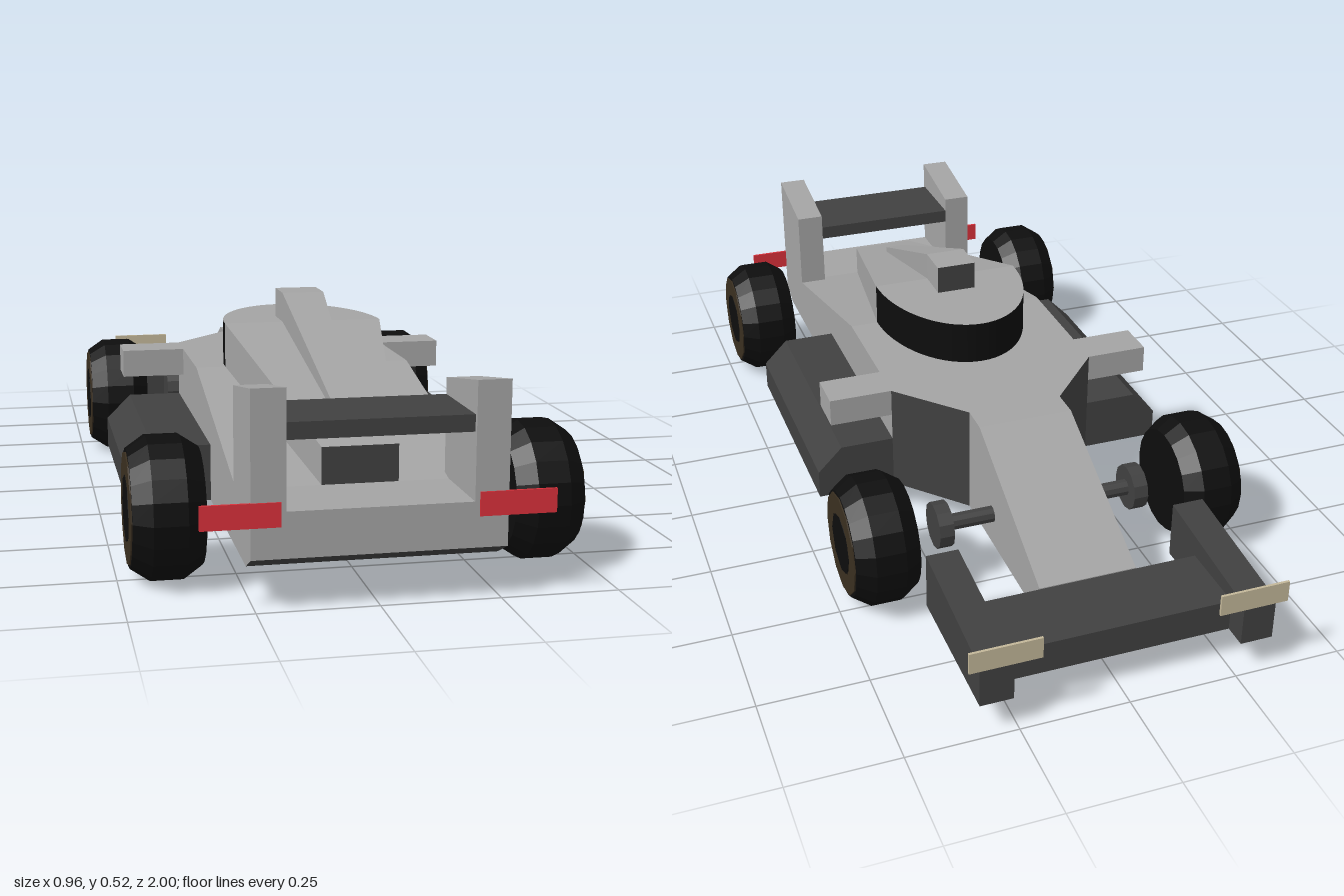
import * as THREE from 'three';

const material = (name, color, side = THREE.FrontSide) => {
  const m = new THREE.MeshStandardMaterial({ color, side });
  m.name = name;
  return m;
};

// Loft of rectangles [z, halfWidth, bottom, top], listed from high z to low z.
// pick(segment, face) gives a material index; faces: 0 bottom, 1 left, 2 top, 3 right, 4 caps.
function loft(sections, pick = () => 0) {
  const rings = sections.map(([z, w, y0, y1]) => [[-w, y0, z], [w, y0, z], [w, y1, z], [-w, y1, z]]);
  const pos = [];
  const geo = new THREE.BufferGeometry();
  const quad = (a, b, c, d, index) => {
    geo.addGroup(pos.length / 3, 6, index);
    pos.push(...a, ...b, ...c, ...a, ...c, ...d);
  };
  const last = rings.length - 1;
  quad(...rings[0], pick(0, 4));
  for (let i = 0; i < last; i++) {
    for (let k = 0; k < 4; k++) {
      const n = (k + 1) % 4;
      quad(rings[i][k], rings[i + 1][k], rings[i + 1][n], rings[i][n], pick(i, k));
    }
  }
  quad(...[...rings[last]].reverse(), pick(last, 4));
  geo.setAttribute('position', new THREE.Float32BufferAttribute(pos, 3));
  geo.computeVertexNormals();
  return geo;
}

// Flat-faceted lathe turned so that its axis lies along x
function turned(profile, sides) {
  const geo = new THREE.LatheGeometry(profile.map(p => new THREE.Vector2(...p)), sides).toNonIndexed();
  geo.computeVertexNormals();
  return geo.rotateZ(-Math.PI / 2);
}

export function createModel() {
  const car = new THREE.Group();
  car.name = 'raceCar';
  const grey = material('bodyGrey', 0xa3a3a3);
  const dark = material('darkGrey', 0x404040);
  const black = material('tyreBlack', 0x0d0d0d);
  const brown = material('rimBrown', 0x3a2f20);
  const red = material('tailRed', 0xd8303a);
  const cream = material('headlightCream', 0xc2b698);

  const add = (name, geo, mat, x = 0, y = 0, z = 0) => {
    const mesh = new THREE.Mesh(geo, mat);
    mesh.name = name;
    mesh.position.set(x, y, z);
    car.add(mesh);
    return mesh;
  };
  const box = (name, mat, w, h, d, x, y, z) => add(name, new THREE.BoxGeometry(w, h, d), mat, x, y, z);

  // Hull with nose, dark underside and dark angled intakes
  add('hull', loft([
    [1, 0.26, 0.11, 0.205], [0.94, 0.26, 0.08, 0.205], [0.82, 0.26, 0.08, 0.205],
    [0.22, 0.26, 0.08, 0.345], [-0.14, 0.26, 0.08, 0.345], [-0.3, 0.115, 0.08, 0.345],
    [-0.37, 0.115, 0.08, 0.345], [-0.76, 0.115, 0.08, 0.157],
  ], (i, k) => (k === 0 || (i === 4 && (k === 1 || k === 3)) ? 1 : 0)), [grey, dark]);

  // Cockpit: rounded black glass in front, tapered cover behind
  const dome = new THREE.Shape();
  dome.absellipse(0, 0, 0.19, 0.29, 0, Math.PI, false);
  dome.closePath();
  const glass = new THREE.ExtrudeGeometry(dome, { depth: 0.105, bevelEnabled: false, curveSegments: 16 });
  glass.rotateX(-Math.PI / 2);
  add('cockpit', glass, [grey, black], 0, 0.345, 0.22);
  add('engineCover', loft([[0.82, 0.082, 0.2, 0.285], [0.22, 0.19, 0.34, 0.45]],
    (i, k) => (k === 4 ? 1 : 0)), [grey, dark]);
  add('airIntake', loft([[0.69, 0.025, 0.3, 0.335], [0.22, 0.05, 0.44, 0.52], [0.13, 0.05, 0.44, 0.52]],
    (i, k) => (i === 2 && k === 4 ? 1 : 0)), [grey, dark]);

  // Wings
  box('rearWing', dark, 0.38, 0.035, 0.2, 0, 0.362, 0.89);
  box('frontWing', dark, 0.53, 0.075, 0.175, 0, 0.1175, -0.8475);

  // Suspension shaft
  add('frontAxle', turned([[0, -0.24], [0.02, -0.24], [0.02, 0.24], [0, 0.24]], 10), dark, 0, 0.16, -0.46);

  // Sidepod cross-section with a chamfered outer edge
  const podShape = new THREE.Shape([[0.25, 0.08], [0.45, 0.08], [0.45, 0.15], [0.39, 0.21], [0.25, 0.21]]
    .map(p => new THREE.Vector2(...p)));
  const pod = new THREE.ExtrudeGeometry(podShape, { depth: 0.59, bevelEnabled: false });

  const tyre = turned([[0, -0.075], [0.125, -0.075], [0.152, -0.035], [0.152, 0.035], [0.125, 0.075], [0, 0.075]], 20);
  const rim = turned([[0.07, 0], [0.12, 0], [0.12, 0.004], [0.07, 0.004]], 12);
  const hub = turned([[0, 0], [0.072, 0], [0.072, 0.005], [0, 0.005]], 8);
  const rearPlate = loft([[1, 0.035, 0.15, 0.45], [0.79, 0.035, 0.15, 0.415]]);
  const frontPlate = loft([[-0.64, 0.0375, 0.08, 0.215], [-0.99, 0.0375, 0.08, 0.18]]);

  for (const s of [1, -1]) {
    const side = s > 0 ? 'left' : 'right';
    add(side + 'RearEndplate', rearPlate, grey, s * 0.225);
    add(side + 'FrontEndplate', frontPlate, dark, s * 0.2975);
    box(side + 'TailLight', red, 0.16, 0.05, 0.006, s * 0.28, 0.2, 1);
    box(side + 'Headlight', cream, 0.16, 0.05, 0.006, s * 0.28, 0.2, -0.993);
    box(side + 'Mirror', grey, 0.16, 0.067, 0.1, s * 0.333, 0.3115, -0.09);
    add(side + 'AxleHub', turned([[0, -0.0175], [0.055, -0.0175], [0.055, 0.0175], [0, 0.0175]], 12),
      dark, s * 0.2425, 0.16, -0.46);

    // The right pod is the left one turned about, on the same z span
    const podMesh = add(side + 'Sidepod', pod, dark, 0, 0, s > 0 ? -0.14 : 0.45);
    if (s < 0) podMesh.rotation.y = Math.PI;

    for (const [end, z] of [['Front', -0.45], ['Rear', 0.74]]) {
      const wheel = new THREE.Group();
      wheel.name = side + end + 'Wheel';
      wheel.position.set(s * 0.4, 0.154, z);
      if (s < 0) wheel.rotation.y = Math.PI;
      for (const [name, geo, mat, x] of [['tyre', tyre, black, 0], ['rim', rim, brown, 0.074], ['hub', hub, black, 0.074]]) {
        const mesh = new THREE.Mesh(geo, mat);
        mesh.name = name;
        mesh.position.x = x;
        wheel.add(mesh);
      }
      car.add(wheel);
    }
  }
  return car;
}
